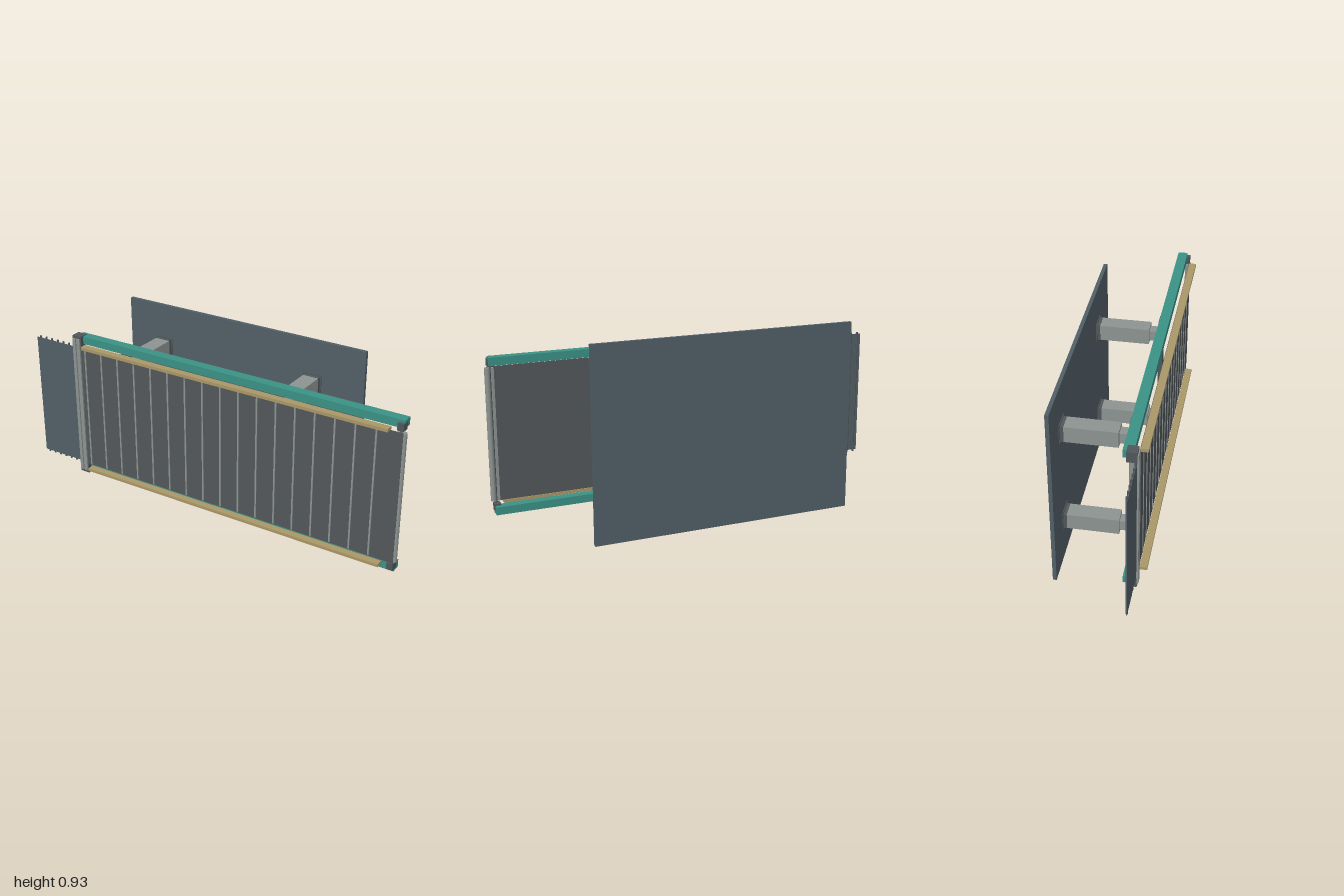
import * as THREE from 'three';

const mat = (color) => new THREE.MeshStandardMaterial({ color });

export function createModel() {
  const model = new THREE.Group();
  const slate = mat(0x515f66), dark = mat(0x50565a), belt = mat(0x52575a);
  const teal = mat(0x3a9185), tan = mat(0xa89768), grey = mat(0x8c9391);

  // Box given by its extents along each axis
  const box = (name, material, [x0, x1], [y0, y1], [z0, z1]) => {
    const mesh = new THREE.Mesh(new THREE.BoxGeometry(x1 - x0, y1 - y0, z1 - z0), material);
    mesh.position.set((x0 + x1) / 2, (y0 + y1) / 2, (z0 + z1) / 2);
    mesh.name = name;
    model.add(mesh);
  };
  // Upright round bar
  const rod = (name, material, x, z, r, y0, y1, sides = 20) => {
    const mesh = new THREE.Mesh(new THREE.CylinderGeometry(r, r, y1 - y0, sides), material);
    mesh.position.set(x, (y0 + y1) / 2, z);
    mesh.name = name;
    model.add(mesh);
  };
  const around = (c, h) => [c - h, c + h];
  const midY = 0.467;

  // Base plate
  box('basePlate', slate, [-0.695, 0.622], [0, 0.932], [-0.217, -0.199]);

  // Telescopic legs with flanges, joined in pairs by cross beams
  for (const x of [-0.49, 0.355]) {
    for (const y of [0.216, 0.715]) {
      box('legFlange', dark, around(x, 0.048), around(y, 0.048), [-0.2, -0.195]);
      box('legCollar', dark, around(x, 0.041), around(y, 0.041), [-0.197, -0.18]);
      box('legSleeve', grey, around(x, 0.04), around(y, 0.04), [-0.18, 0.063]);
      box('legInnerTube', grey, around(x, 0.026), around(y, 0.026), [0.063, 0.11]);
    }
    box('crossBeam', dark, around(x, 0.025), [0.132, 0.802], [0.108, 0.129]);
  }

  // Side rails, guides and end brackets, mirrored about the belt's centre line
  for (const s of [-1, 1]) {
    const span = (a, b) => [midY + s * a, midY + s * b].sort((p, q) => p - q);
    box('sideRail', teal, [-0.75, 0.984], span(0.335, 0.373), [0.118, 0.166]);
    box('guideStrip', tan, [-0.69, 0.93], span(0.326, 0.341), [0.183, 0.218]);
    box('infeedBracket', dark, [-0.767, -0.716], span(0.325, 0.376), [0.135, 0.183]);
    box('outfeedBracket', dark, [0.955, 0.985], span(0.327, 0.362), [0.143, 0.181]);
  }

  // Main belt with its seams
  box('belt', belt, [-0.745, 0.985], [0.145, 0.787], [0.177, 0.182]);
  for (let i = 0; i < 17; i++) {
    box('beltSeam', grey, around(-0.695 + i * 0.0975, 0.004), [0.15, 0.785], [0.18, 0.185]);
  }

  // Infeed end: roller and two bars
  rod('infeedRoller', grey, -0.742, 0.16, 0.016, 0.12, 0.82);
  box('infeedBar', grey, [-0.765, -0.748], [0.105, 0.83], [0.181, 0.189]);
  box('infeedBar', grey, [-0.742, -0.722], [0.105, 0.83], [0.181, 0.189]);

  // Outfeed end: roller, shaft and thin post
  rod('outfeedRoller', grey, 0.984, 0.168, 0.013, 0.15, 0.785);
  rod('outfeedShaft', dark, 0.972, 0.168, 0.005, 0.11, 0.825, 12);
  box('outfeedBar', grey, [0.955, 0.966], [0.15, 0.785], [0.158, 0.176]);

  // Extension sheet stiffened with thin rods
  box('extensionSheet', slate, [-1, -0.745], [0.15, 0.782], [0.176, 0.18]);
  for (let i = 0; i < 7; i++) {
    rod('extensionRod', dark, -0.98 + i * 0.036, 0.175, 0.005, 0.141, 0.791, 10);
  }

  return model;
}
